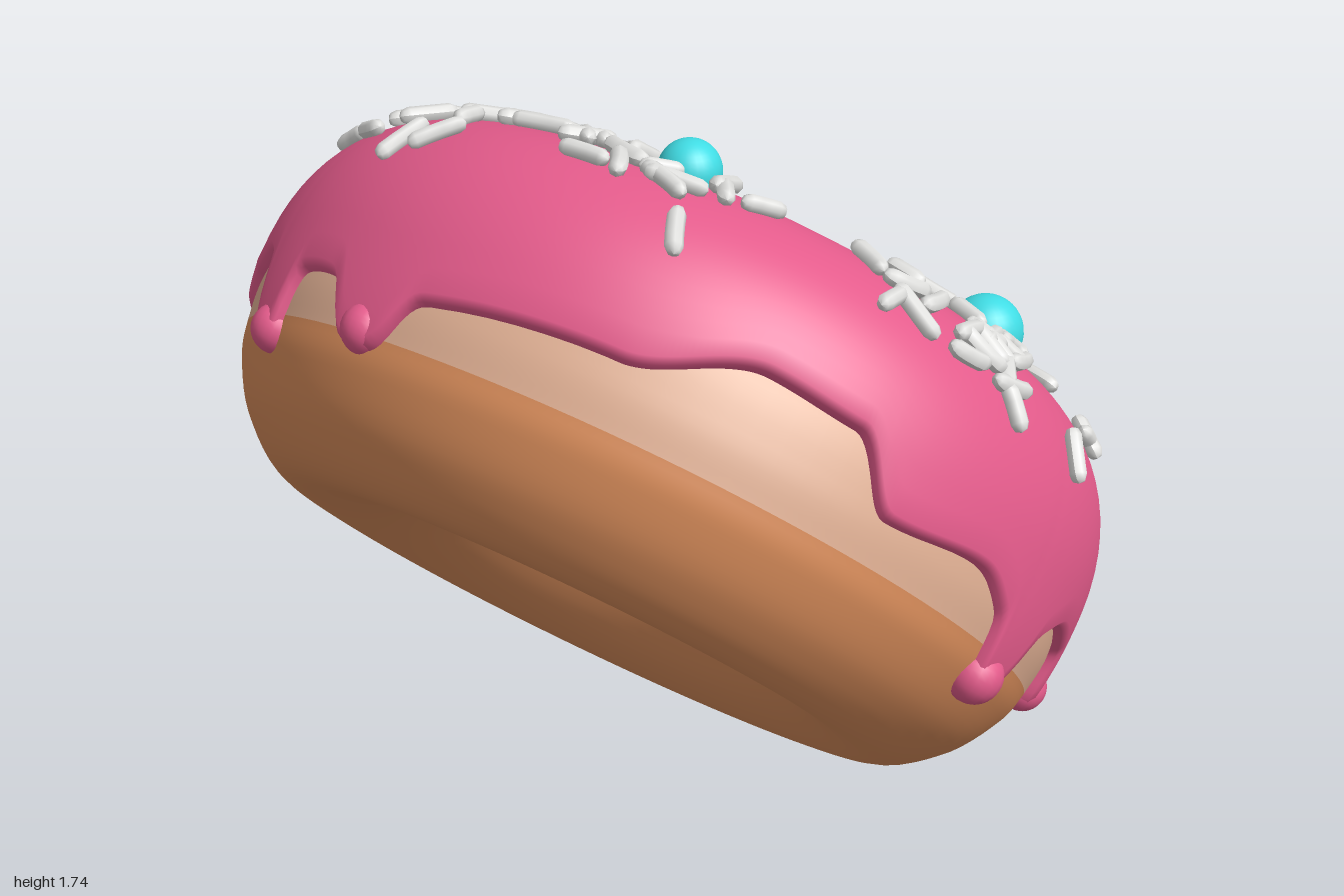
import * as THREE from 'three';
import { mergeGeometries } from 'three/addons/utils/BufferGeometryUtils.js';

const mat = (name, color) => {
  const m = new THREE.MeshStandardMaterial({ color });
  m.name = name;
  return m;
};
const DEG = Math.PI / 180;
const RING = 0.6, WIDE = 0.4, EXP = 2.2;

// Half height of the icing's cross-section: uneven above, longer below
const half = (s, phi) => (s < 0 ? 0.56 : 0.43 + 0.022 * Math.cos(phi));
const power = (v) => Math.sign(v) * Math.abs(v) ** (2 / EXP);

// Point on the icing: phi runs round the ring, theta round the tube (90 degrees is the top)
function icingPoint(phi, theta) {
  const s = Math.sin(theta);
  const r = RING + WIDE * power(Math.cos(theta));
  return new THREE.Vector3(r * Math.cos(phi), half(s, phi) * power(s), r * Math.sin(phi));
}
const thetaAt = (n, phi) => Math.sign(n) * Math.asin(Math.abs(n / half(n, phi)) ** (EXP / 2));

// Wavy lower edge of the icing: [degrees, height]
const EDGE = [[-165, -0.05], [-141, -0.02], [-130, -0.06], [-122, -0.12], [-108, -0.16], [-82, -0.06], [-73, 0],
  [-55, -0.03], [-38, -0.06], [-22, -0.09], [6, -0.1], [22, 0], [38, -0.02], [46, -0.02], [62, -0.05],
  [78, -0.03], [91, -0.1], [104, -0.05], [120, -0.08], [128, 0.05], [140, 0.06], [156, -0.04],
  [180, -0.06], [195, -0.05]];
// Drips: [degrees, tip height, half width in degrees, bulb radius]
const DRIPS = [[-171, -0.2, 5.5, 0.055], [-150, -0.24, 3.8, 0.055], [-92, -0.35, 6.5, 0.08], [-23, -0.27, 4.6, 0.062],
  [38, -0.17, 3.6, 0.054], [62, -0.19, 4.6, 0.055], [91, -0.27, 3.8, 0.062]];

function edgeHeight(deg) {
  const d = deg < -165 ? deg + 360 : deg > 195 ? deg - 360 : deg;
  let k = 0;
  while (k < EDGE.length - 2 && d > EDGE[k + 1][0]) k++;
  const [a, b] = [EDGE[k], EDGE[k + 1]];
  let n = THREE.MathUtils.lerp(a[1], b[1], THREE.MathUtils.smoothstep(d, a[0], b[0]));
  for (const [c, tip, w] of DRIPS) {
    const off = Math.abs(((d - c + 540) % 360) - 180) / w;
    n -= (n - tip) * (0.75 * Math.exp(-(off ** 4)) + 0.25 * Math.exp(-((off / 2) ** 2)));
  }
  return n;
}

// Icing skin: sweeps from inside the hole, over the top, to the wavy edge with a rounded lip
function icingGeometry() {
  const cols = 540, rows = 40, pos = [], index = [];
  for (let i = 0; i < cols; i++) {
    const deg = (i * 360) / cols - 180, phi = deg * DEG;
    const start = Math.PI - thetaAt(-0.02 + 0.03 * Math.sin(3 * phi), phi);
    const end = thetaAt(edgeHeight(deg), phi);
    const radial = new THREE.Vector3(Math.cos(phi), 0, Math.sin(phi));
    const line = [icingPoint(phi, start).addScaledVector(radial, 0.07)];
    for (let j = 0; j <= rows; j++) line.push(icingPoint(phi, start + ((end - start) * j) / rows));
    const last = line[line.length - 1];
    for (const [inward, drop] of [[0.012, 0.016], [0.035, 0.022], [0.08, 0.015]]) {
      const p = last.clone().addScaledVector(radial, -inward);
      p.y -= drop;
      line.push(p);
    }
    for (const p of line) pos.push(p.x, p.y, p.z);
    const n = line.length, next = ((i + 1) % cols) * n;
    for (let j = 0; j < n - 1; j++) {
      const a = i * n + j, b = next + j;
      index.push(a, b, a + 1, b, b + 1, a + 1);
    }
  }
  const g = new THREE.BufferGeometry();
  g.setAttribute('position', new THREE.Float32BufferAttribute(pos, 3));
  g.setIndex(index);
  g.computeVertexNormals();
  return g;
}

let seed = 11;
const rnd = () => {
  seed = (seed * 16807) % 2147483647;
  return seed / 2147483647;
};
const spread = () => rnd() + rnd() - 1;

// One slightly bent sprinkle, laid flat on the icing
function sprinkle(phi, theta) {
  const g = new THREE.CapsuleGeometry(0.019, 0.055 + 0.05 * rnd(), 2, 8, 3);
  const p = g.attributes.position, bend = 2 * rnd();
  for (let i = 0; i < p.count; i++) p.setX(i, p.getX(i) + bend * p.getY(i) ** 2);
  g.computeVertexNormals();
  const at = icingPoint(phi, theta), e = 0.01;
  const round = icingPoint(phi + e, theta).sub(at).normalize();
  const across = icingPoint(phi, theta - e).sub(at).normalize();
  const normal = round.clone().cross(across).normalize();
  const turn = rnd() * Math.PI * 2;
  const along = round.multiplyScalar(Math.cos(turn)).addScaledVector(across, Math.sin(turn)).normalize();
  const m = new THREE.Matrix4().makeBasis(along.clone().cross(normal), along, normal);
  return g.applyMatrix4(m.setPosition(at.addScaledVector(normal, 0.014)));
}

export function createModel() {
  const model = new THREE.Group();
  model.name = 'doughnut';
  const icing = mat('pink icing', 0xe45b8b);
  const crust = mat('brown dough', 0xd98d5b);
  const pale = mat('pale dough', 0xdeae92);
  const white = mat('white sprinkle', 0xe0e0de);
  const teal = mat('turquoise ball', 0x40dce4);

  // Everything on the ring is built flat, then tilted
  const ring = new THREE.Group();
  ring.name = 'tiltedRing';
  ring.rotation.z = -45 * DEG;
  ring.position.set(-0.02, 0.87, 0);
  model.add(ring);
  const add = (name, geometry, material, parent = ring) => {
    const mesh = new THREE.Mesh(geometry, material);
    mesh.name = name;
    parent.add(mesh);
    return mesh;
  };

  // Dough: browned underside and a pale band round the middle
  const lathe = (pts) => new THREE.LatheGeometry(
    new THREE.SplineCurve(pts.map(([x, y]) => new THREE.Vector2(x, y))).getPoints(40), 96);
  add('doughBase', lathe([[0.23, -0.07], [0.31, -0.22], [0.43, -0.35], [0.56, -0.43], [0.73, -0.455],
    [0.86, -0.37], [0.935, -0.26], [0.957, -0.19]]), crust);
  add('doughBand', lathe([[0.957, -0.19], [0.97, -0.09], [0.955, 0.06], [0.86, 0.24], [0.6, 0.36],
    [0.34, 0.22], [0.24, 0.06], [0.23, -0.07]]), pale);

  // Icing with a round bulb sunk into each drip
  add('icing', icingGeometry(), icing);
  for (const [deg, tip, , r] of DRIPS) {
    const bulb = add('icingDrip', new THREE.SphereGeometry(r, 20, 14), icing);
    bulb.position.copy(icingPoint(deg * DEG, thetaAt(tip + 0.025, deg * DEG)));
    bulb.position.multiply(new THREE.Vector3(0.962, 1, 0.962));
  }

  // Sprinkles, scattered and in loose clusters: [phi, phi spread, theta, theta spread, count]
  const clusters = [[0, 360, 100, 75, 125], [-62, 48, 88, 68, 68], [13, 30, 36, 28, 45], [-165, 50, 65, 38, 28],
    [180, 25, 115, 58, 22], [114, 24, 55, 28, 20], [-95, 36, 50, 32, 26], [-40, 55, 145, 28, 16]];
  const rods = [];
  for (const [phi, dPhi, theta, dTheta, count] of clusters) {
    for (let i = 0; i < count; i++) rods.push(sprinkle((phi + dPhi * spread()) * DEG, (theta + dTheta * spread()) * DEG));
  }
  add('sprinkles', mergeGeometries(rods), white);

  // Sugar balls
  for (const [x, y, z, r] of [[0.36, 1.17, 0.585, 0.084], [0.11, 1.24, -0.79, 0.074],
    [-0.26, 1.665, 0.24, 0.067], [0.82, 0.565, -0.195, 0.071]]) {
    add('sugarBall', new THREE.SphereGeometry(r, 28, 20), teal, model).position.set(x, y, z);
  }
  return model;
}
